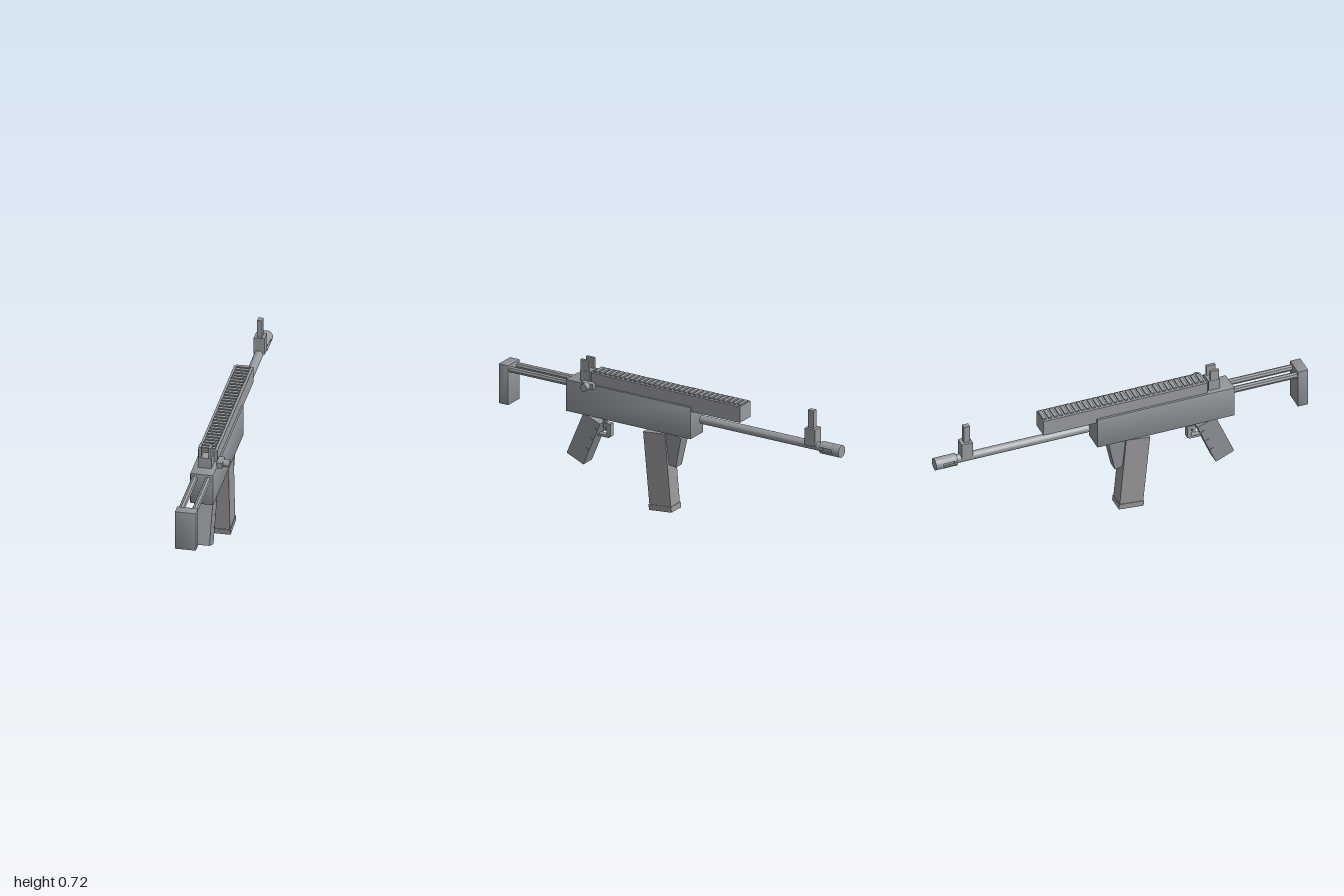
import * as THREE from 'three';
import { RoundedBoxGeometry } from 'three/addons/geometries/RoundedBoxGeometry.js';
import { toCreasedNormals } from 'three/addons/utils/BufferGeometryUtils.js';

const CX = -0.027; // centre line of the body
const paint = (color) => new THREE.MeshStandardMaterial({ color });
const body = paint(0x8f9398);  // receiver, stock, pistol grip
const metal = paint(0x989b9f); // rail, barrel, sights, small parts
const shell = paint(0x989699); // magazine

export function createModel() {
  const model = new THREE.Group();
  const add = (name, mat, geo) => {
    const m = new THREE.Mesh(toCreasedNormals(geo, 0.5), mat);
    m.name = name;
    model.add(m);
  };
  // box from its limits; bevel > 0 softens the edges
  const box = (name, mat, x0, x1, y0, y1, z0, z1, bevel = 0) => {
    const s = [x1 - x0, y1 - y0, z1 - z0];
    const g = bevel ? new RoundedBoxGeometry(...s, 1, bevel) : new THREE.BoxGeometry(...s);
    add(name, mat, g.translate((x0 + x1) / 2, (y0 + y1) / 2, (z0 + z1) / 2));
  };
  // side outline given as [z, y] points, extruded across x
  const slabGeometry = (pts, x0, x1) => {
    const shape = new THREE.Shape(pts.map(([z, y]) => new THREE.Vector2(-z, y)));
    const g = new THREE.ExtrudeGeometry(shape, { depth: x1 - x0, bevelEnabled: false });
    return g.rotateY(Math.PI / 2).translate(x0, 0, 0);
  };
  const slab = (name, mat, pts, x0, x1) => add(name, mat, slabGeometry(pts, x0, x1));
  const rod = (name, mat, x, y, r, z0, z1, sides) =>
    add(name, mat, new THREE.CylinderGeometry(r, r, z1 - z0, sides)
      .rotateX(Math.PI / 2).translate(x, y, (z0 + z1) / 2));

  // body and stock
  box('receiver', body, -0.087, 0.032, 0.435, 0.606, -0.142, 0.6, 0.004);
  box('buttPlate', body, -0.081, 0.027, 0.392, 0.605, 0.943, 1, 0.003);
  for (const s of [-1, 1]) rod('stockRod', metal, CX - 0.003 + s * 0.034, 0.578, 0.0165, 0.59, 0.95, 8);

  // top rail with cross slats
  box('topRail', metal, -0.076, 0.022, 0.581, 0.667, -0.428, 0.456);
  const slats = 30;
  for (let i = 0; i < slats; i++) {
    const z = -0.415 + (i * 0.85) / (slats - 1);
    box('railSlat', metal, -0.063, 0.009, 0.66, 0.674, z - 0.009, z + 0.009);
  }

  // barrel and slotted muzzle
  rod('barrel', metal, CX - 0.003, 0.529, 0.0225, -0.9, -0.169, 24);
  rod('muzzleCap', metal, CX - 0.003, 0.528, 0.032, -1, -0.96, 24);
  const outline = new THREE.Shape();
  const a = 0.32, r = 0.032;
  outline.absarc(0, 0, r, a, Math.PI - a, false);
  outline.lineTo(-0.02, r * Math.sin(a));
  outline.lineTo(-0.02, -r * Math.sin(a));
  outline.absarc(0, 0, r, Math.PI + a, 2 * Math.PI - a, false);
  outline.lineTo(0.02, -r * Math.sin(a));
  outline.lineTo(0.02, r * Math.sin(a));
  add('muzzleSleeve', metal,
    new THREE.ExtrudeGeometry(outline, { depth: 0.076, bevelEnabled: false, curveSegments: 10 })
      .translate(CX - 0.003, 0.528, -0.96));

  // sights
  box('frontSightBase', metal, -0.055, 0.001, 0.533, 0.624, -0.86, -0.8);
  box('frontSightPost', metal, -0.04, -0.014, 0.62, 0.719, -0.843, -0.811);
  box('rearSightBase', metal, -0.061, 0.007, 0.6, 0.662, 0.47, 0.531);
  for (const s of [-1, 1]) {
    const x = CX + s * 0.0255;
    box('rearSightProng', metal, x - 0.0075, x + 0.0075, 0.655, 0.719, 0.48, 0.527);
  }

  // charging handle on the left side
  box('handleStem', metal, 0.025, 0.055, 0.59, 0.621, 0.425, 0.493);
  add('handleKnob', metal, new THREE.CylinderGeometry(0.02, 0.02, 0.038, 16)
    .rotateZ(Math.PI / 2).translate(0.068, 0.605, 0.459));

  // pistol grip with shallow finger ridges showing at its sides
  slab('pistolGrip', body, [[0.506, 0.437], [0.605, 0.204], [0.506, 0.161], [0.407, 0.398]], -0.067, 0.013);
  for (const [z, y] of [[0.436, 0.362], [0.461, 0.303], [0.486, 0.243]])
    slab('gripRidge', body, [[z - 0.009, y + 0.006], [z + 0.007, y + 0.012], [z + 0.01, y + 0.005], [z - 0.006, y - 0.002]], -0.07, 0.016);

  // trigger and guard
  box('trigger', metal, -0.037, -0.017, 0.355, 0.415, 0.392, 0.408);
  box('guardTop', metal, -0.041, -0.013, 0.378, 0.398, 0.362, 0.405);
  box('guardFront', metal, -0.041, -0.013, 0.33, 0.398, 0.362, 0.386);
  box('guardBottom', metal, -0.041, -0.013, 0.322, 0.335, 0.372, 0.455);

  // magazine and its floor plate
  slab('magazine', shell, [[0.15, 0.412], [0.112, 0.02], [-0.015, 0.03], [0.021, 0.425]], -0.07, 0.015);
  slab('magazineFloor', shell, [[0.116, 0.029], [0.113, 0], [-0.02, 0.012], [-0.017, 0.041]], -0.073, 0.018);

  // foregrip, narrower towards its foot
  const fore = slabGeometry([[0.019, 0.437], [0.015, 0.26], [-0.035, 0.252], [-0.07, 0.418]], -0.062, 0.008);
  const p = fore.attributes.position;
  for (let i = 0; i < p.count; i++)
    if (p.getY(i) < 0.3) p.setX(i, CX + (p.getX(i) - CX) * 0.8);
  add('foregrip', body, fore);

  return model;
}
